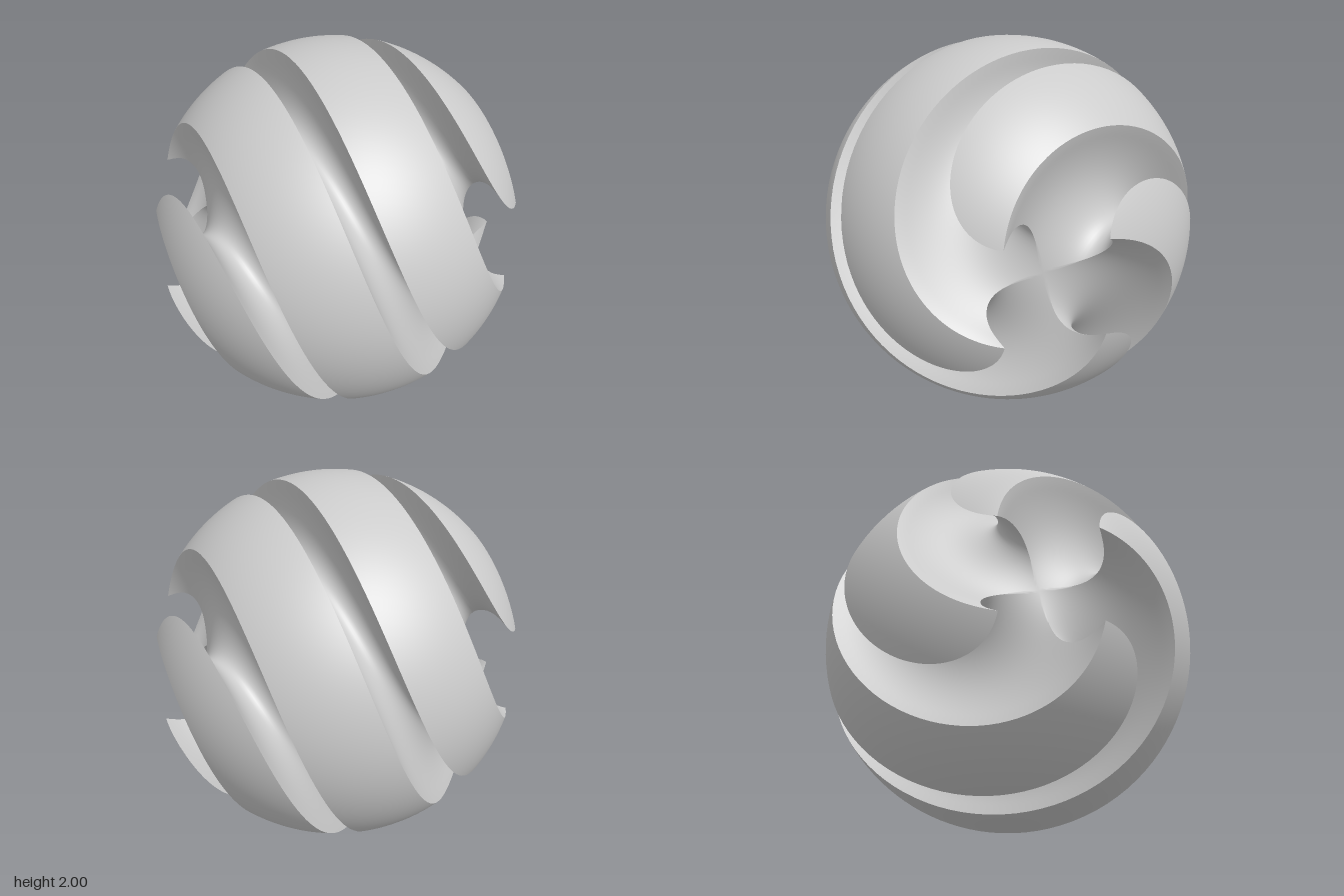
import * as THREE from 'three';
import { mergeGeometries, toCreasedNormals } from 'three/addons/utils/BufferGeometryUtils.js';

const TWIST = THREE.MathUtils.degToRad(145); // turn about x per unit of x
const FLOOR = 0.71;   // distance of the groove floor from the centre
const FILLET = 0.23;  // depth of the rounded groove bottom
const QUARTER = Math.PI / 4;

// Point on a shell of radius R; s (-1..1) runs from pole to pole.
// g scales the groove width; returns x, distance from the x axis and groove half angle.
function station(R, s, g) {
  const tip = 0.27 * g / (Math.SQRT1_2 + 0.055 * g); // where neighbouring grooves meet
  const x = Math.sin(s * Math.PI / 2) * Math.sqrt(R * R - tip * tip);
  const r = Math.sqrt(Math.max(R * R - x * x, 0));
  const width = g * (0.27 - 0.055 * r);
  const half = Math.min(Math.asin(Math.min(width / Math.max(r, 1e-6), 1)), QUARTER);
  return { x, r, half };
}

// Regular grid of points f(s, q), both from -1 to 1
function grid(rows, cols, f) {
  const pos = [], index = [];
  for (let i = 0; i <= rows; i++) {
    for (let j = 0; j <= cols; j++) {
      const { x, r, angle } = f(-1 + 2 * i / rows, -1 + 2 * j / cols);
      pos.push(x, r * Math.cos(angle), r * Math.sin(angle));
      if (i < rows && j < cols) {
        const a = i * (cols + 1) + j, c = a + cols + 1;
        index.push(a, a + 1, c, a + 1, c + 1, c);
      }
    }
  }
  const geo = new THREE.BufferGeometry();
  geo.setAttribute('position', new THREE.Float32BufferAttribute(pos, 3));
  geo.setIndex(index);
  return geo;
}

// Spherical band between two grooves, tapering to a point at both ends
function landGeometry() {
  const geo = grid(120, 20, (s, q) => {
    const { x, r, half } = station(1, s, 1);
    return { x, r, angle: TWIST * x + q * (QUARTER - half) };
  });
  geo.setAttribute('normal', geo.attributes.position.clone()); // unit sphere
  return geo;
}

// Groove: rounded bottom, then straight walls up to the sphere
function grooveGeometry() {
  return grid(120, 40, (s, q) => {
    const t = Math.abs(q), bend = 0.8;
    const a = Math.min(t / bend, 1) * Math.PI / 2;
    let R = FLOOR + FILLET * (1 - Math.cos(a));
    if (t > bend) R += (1 - FLOOR - FILLET) * (t - bend) / (1 - bend);
    const { x, r, half } = station(R, s, Math.sin(a));
    return { x, r, angle: TWIST * x + QUARTER + Math.sign(q) * half };
  });
}

export function createModel() {
  const model = new THREE.Group();
  model.name = 'spiralGroovedSphere';
  const material = new THREE.MeshStandardMaterial({ color: 0xcccccc });

  // Four lands
  const land = landGeometry();
  for (let k = 0; k < 4; k++) {
    const mesh = new THREE.Mesh(land, material);
    mesh.name = 'spiralLand' + (k + 1);
    mesh.rotation.x = k * Math.PI / 2;
    mesh.position.y = 1;
    model.add(mesh);
  }

  // Four grooves, joined so that they blend at the poles
  const parts = [0, 1, 2, 3].map(k => grooveGeometry().rotateX(k * Math.PI / 2));
  const grooves = new THREE.Mesh(toCreasedNormals(mergeGeometries(parts), 0.6), material);
  grooves.name = 'spiralGrooves';
  grooves.position.y = 1;
  model.add(grooves);

  return model;
}
